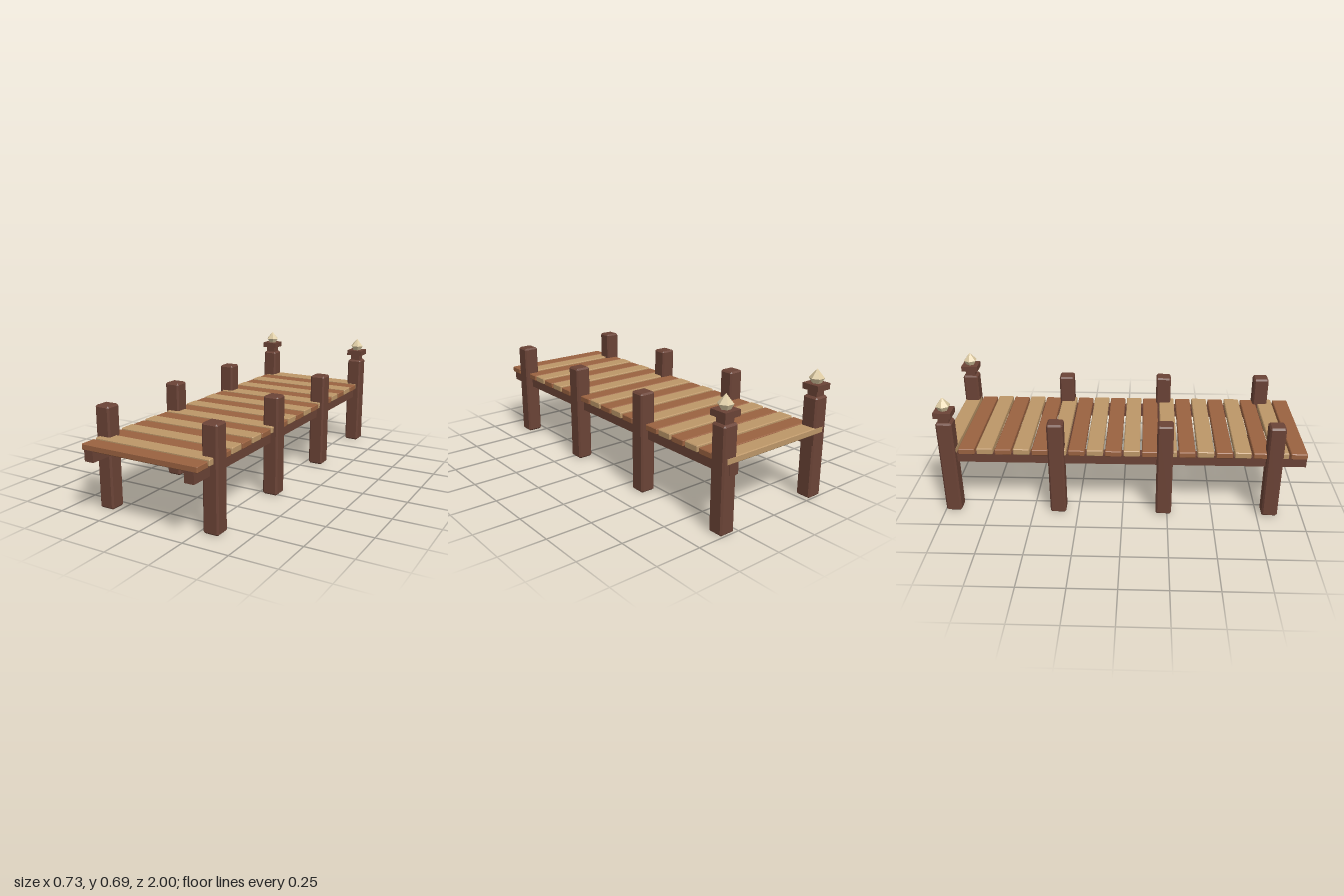
import * as THREE from 'three';
import { ConvexGeometry } from 'three/addons/geometries/ConvexGeometry.js';

const material = (name, color) => {
  const m = new THREE.MeshStandardMaterial({ color });
  m.name = name;
  return m;
};

// Box with every edge cut by a flat chamfer b
function chamferBox(w, h, d, b) {
  const points = [];
  for (const sx of [-1, 1]) for (const sy of [-1, 1]) for (const sz of [-1, 1]) {
    for (let axis = 0; axis < 3; axis++) {
      const inset = [0, 1, 2].map(i => (i === axis ? 0 : b));
      points.push(new THREE.Vector3(
        sx * (w / 2 - inset[0]), sy * (h / 2 - inset[1]), sz * (d / 2 - inset[2])));
    }
  }
  return new ConvexGeometry(points);
}

// Six-sided faceted gem, corners on the x axis
function gemGeometry() {
  const profile = [[0, 0], [0.025, 0], [0.04, 0.026], [0, 0.073]]
    .map(([r, y]) => new THREE.Vector2(r, y));
  const geometry = new THREE.LatheGeometry(profile, 6).toNonIndexed();
  geometry.rotateY(Math.PI / 2);
  geometry.computeVertexNormals();
  return geometry;
}

export function createModel() {
  const darkWood = material('dark wood', 0x6b4336);
  const brownWood = material('brown wood', 0x9a6240);
  const paleWood = material('pale wood', 0xbd9768);
  const gemStone = material('pale gem', 0xdccaa2);

  const model = new THREE.Group();
  model.name = 'dock';
  const add = (name, geometry, mat, x, y, z) => {
    const mesh = new THREE.Mesh(geometry, mat);
    mesh.name = name;
    mesh.position.set(x, y, z);
    model.add(mesh);
  };

  // Deck planks in alternating woods, the pale ones a little thicker
  const palePlank = chamferBox(0.68, 0.035, 0.089, 0.004);
  const brownPlank = chamferBox(0.68, 0.033, 0.089, 0.004);
  for (let i = 0; i < 20; i++) {
    const pale = i % 2 === 0;
    add('plank', pale ? palePlank : brownPlank, pale ? paleWood : brownWood,
      0, pale ? 0.3745 : 0.372, -0.952 + i * 0.1002);
  }

  const beam = new THREE.BoxGeometry(0.054, 0.06, 1.996);
  const post = chamferBox(0.087, 0.549, 0.087, 0.009);
  const neck = new THREE.BoxGeometry(0.057, 0.036, 0.057);
  const cap = new THREE.BoxGeometry(0.096, 0.032, 0.096);
  const gem = gemGeometry();
  const backZ = -0.952;

  for (const side of [-1, 1]) {
    // Beam below the deck and the row of posts
    add('beam', beam, darkWood, side * 0.295, 0.33, 0);
    for (let i = 0; i < 4; i++) {
      add('post', post, darkWood, side * 0.318, 0.2765, backZ + i * 0.591);
    }
    // Finial on the back post
    add('postNeck', neck, darkWood, side * 0.318, 0.567, backZ);
    add('postCap', cap, darkWood, side * 0.318, 0.599, backZ);
    add('gem', gem, gemStone, side * 0.318, 0.615, backZ);
  }
  return model;
}
